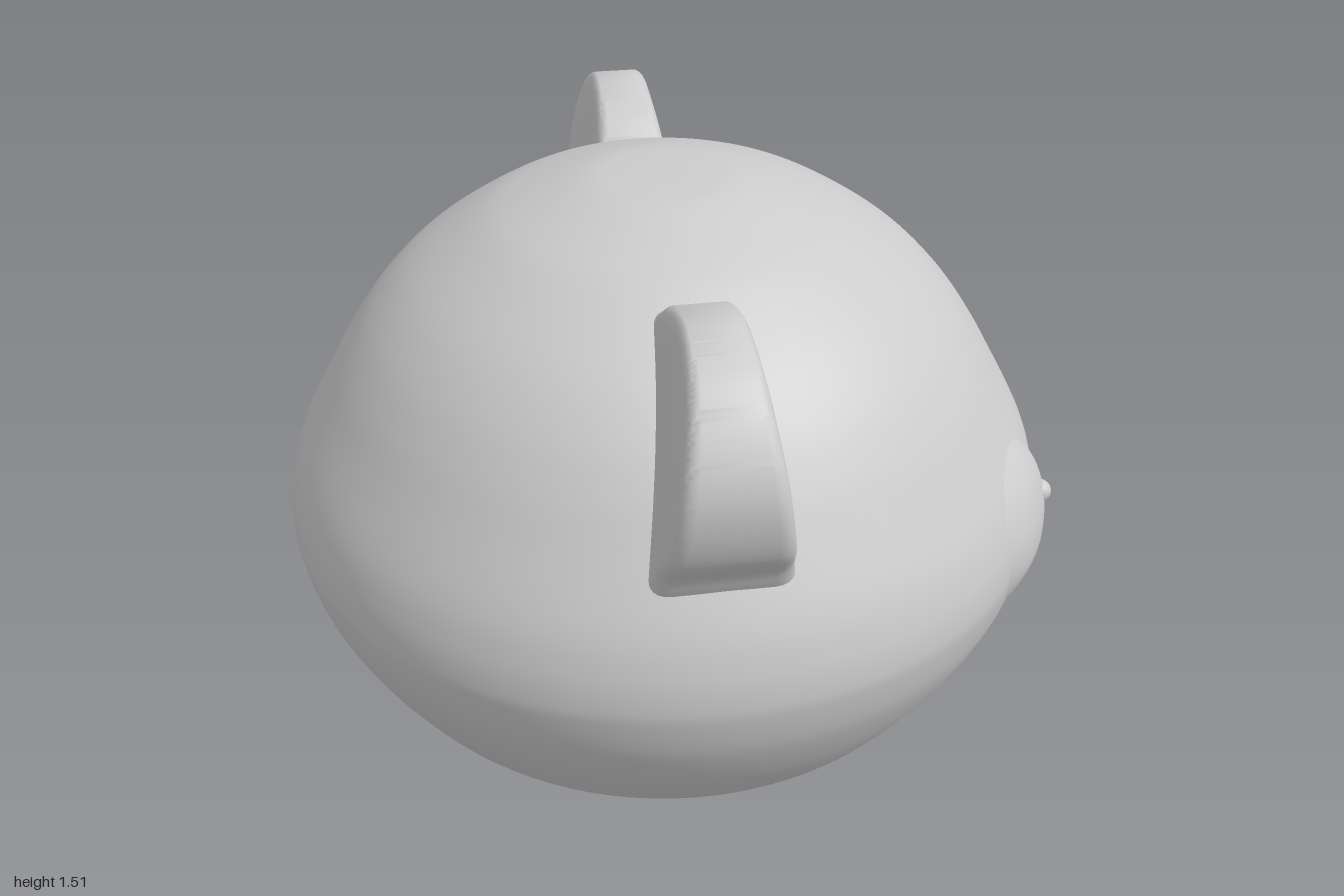
import * as THREE from 'three';
import { mergeVertices, toCreasedNormals } from 'three/addons/utils/BufferGeometryUtils.js';

const CX = -0.02; // axis of the round head
const mat = new THREE.MeshStandardMaterial({ color: 0xcccccc });
const v2 = ([x, y]) => new THREE.Vector2(x, y);

// Head profile: radius, height
const profile = new THREE.SplineCurve([
  [0, 0.005], [0.2, 0.006], [0.4, 0.016], [0.52, 0.045], [0.63, 0.1], [0.75, 0.2], [0.825, 0.3],
  [0.885, 0.4], [0.935, 0.51], [0.96, 0.61], [0.964, 0.67], [0.953, 0.75], [0.92, 0.85],
  [0.84, 1.0], [0.782, 1.1], [0.71, 1.2], [0.61, 1.3], [0.465, 1.4], [0.36, 1.45],
  [0.2, 1.5], [0.1, 1.509], [0, 1.51],
].map(v2)).getPoints(110);
profile[0].x = profile[110].x = 0;

// Head radius at a height, and the surface x of the face at (z, y)
function radiusAt(y) {
  const i = Math.max(1, profile.findIndex((p) => p.y >= y));
  const a = profile[i - 1], b = profile[i];
  return a.x + (b.x - a.x) * (y - a.y) / (b.y - a.y);
}
const faceX = (z, y) => Math.sqrt(radiusAt(y) ** 2 - z * z) + CX;
const onFace = (z, y, out = 0) => new THREE.Vector3(faceX(z, y) + out, y, z);

// Ear: rounded plate, thicker towards its root
function earGeometry() {
  const shape = new THREE.Shape();
  shape.moveTo(0.45, 1.36);
  shape.splineThru([[0.5, 1.37], [0.58, 1.425], [0.72, 1.46], [0.84, 1.425], [0.91, 1.36],
    [0.96, 1.27], [0.97, 1.18], [0.945, 1.08], [0.885, 1.0], [0.86, 0.95]].map(v2));
  shape.lineTo(0.7, 0.92);
  shape.lineTo(0.4, 1.2);
  let g = new THREE.ExtrudeGeometry(shape, {
    depth: 1.4, bevelThickness: 0.3, bevelSize: 0.03, bevelSegments: 5, curveSegments: 40,
  });
  g.translate(0, 0, -0.7);
  const p = g.attributes.position;
  for (let i = 0; i < p.count; i++) {
    const half = 0.15 - 0.16 * (p.getY(i) - 1);
    p.setZ(i, p.getZ(i) * half);
  }
  g.deleteAttribute('normal');
  g.deleteAttribute('uv');
  g = mergeVertices(g, 1e-4);
  return toCreasedNormals(g, 0.7);
}

// Eye: shallow oval dome laid over the curved face
function eyeGeometry(side) {
  const rings = 14, segs = 48, pos = [], idx = [];
  for (let r = 0; r <= rings; r++) {
    const t = r / rings;
    for (let s = 0; s < segs; s++) {
      const a = (s / segs) * Math.PI * 2;
      const u = 0.17 * t * Math.cos(a), v = 0.2 * t * Math.sin(a);
      const z = side * (0.445 + u - 0.12 * v), y = 0.72 + v;
      const out = 0.034 * (1 - t ** 3) - 0.004 * t ** 8;
      pos.push(...onFace(z, y, out).toArray());
      if (r < rings) {
        const n = (s + 1) % segs, a0 = r * segs + s, a1 = r * segs + n;
        const b0 = a0 + segs, b1 = a1 + segs;
        if (side > 0) idx.push(a0, a1, b0, a1, b1, b0);
        else idx.push(a0, b0, a1, a1, b0, b1);
      }
    }
  }
  const g = new THREE.BufferGeometry();
  g.setAttribute('position', new THREE.Float32BufferAttribute(pos, 3));
  g.setIndex(idx);
  const merged = mergeVertices(g, 1e-5);
  merged.computeVertexNormals();
  return merged;
}

// Nose: boxy ellipsoid, a little narrower at the bottom
function noseGeometry() {
  const g = new THREE.SphereGeometry(1, 40, 28);
  const p = g.attributes.position;
  const soft = (c) => Math.sign(c) * Math.abs(c) ** 0.8;
  for (let i = 0; i < p.count; i++) {
    const y = soft(p.getY(i));
    p.setXYZ(i, 0.06 * soft(p.getX(i)), 0.07 * y, 0.12 * soft(p.getZ(i)) * (1 + 0.1 * y));
  }
  g.computeVertexNormals();
  return g;
}

export function createModel() {
  const model = new THREE.Group();
  const add = (name, geometry, parent = model) => {
    const mesh = new THREE.Mesh(geometry, mat);
    mesh.name = name;
    parent.add(mesh);
    return mesh;
  };

  add('head', new THREE.LatheGeometry(profile, 96)).position.x = CX;

  const ear = earGeometry();
  for (const side of [1, -1]) {
    const e = add(side > 0 ? 'earNear' : 'earFar', ear);
    e.rotation.y = -side * Math.PI / 2;
    e.position.x = -0.028;
  }

  for (const side of [1, -1]) {
    const eye = new THREE.Group();
    eye.name = 'eye';
    model.add(eye);
    add('eyeDome', eyeGeometry(side), eye);
    const glint = add('eyeGlint', new THREE.SphereGeometry(0.03, 20, 14), eye);
    glint.position.copy(onFace(side * 0.365, 0.74, 0.018));
  }

  add('nose', noseGeometry()).position.set(0.925, 0.56, 0);

  // Mouth: two curled tubes with round ends and a short stem up to the nose
  const mouth = new THREE.Group();
  mouth.name = 'mouth';
  model.add(mouth);
  const R = 0.028;
  const tube = (name, points) => {
    const path = new THREE.CatmullRomCurve3(points.map(([z, y]) => onFace(z, y, 0.012)));
    add(name, new THREE.TubeGeometry(path, 36, R, 14), mouth);
    for (const t of [0, 1]) {
      add(name + 'End', new THREE.SphereGeometry(R, 16, 12), mouth).position.copy(path.getPoint(t));
    }
  };
  for (const side of [1, -1]) {
    tube('lip', [[0, 0.405], [0.06, 0.375], [0.13, 0.357], [0.185, 0.372], [0.232, 0.402]]
      .map(([z, y]) => [side * z, y]));
  }
  tube('mouthStem', [[0, 0.405], [0, 0.45], [0, 0.51]]);

  return model;
}
